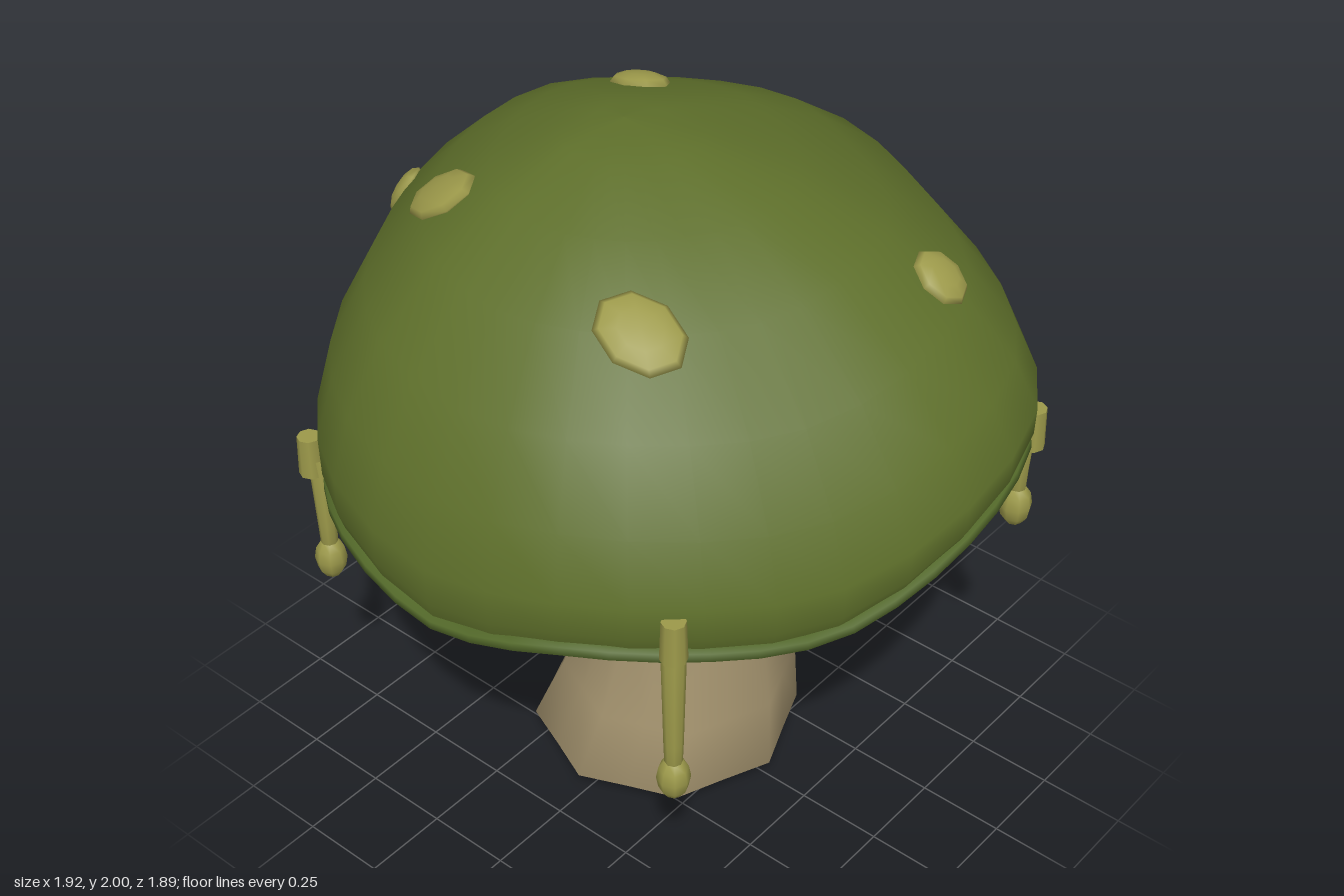
import * as THREE from 'three';

const material = (name, color) => {
  const m = new THREE.MeshStandardMaterial({ color });
  m.name = name;
  return m;
};

// Smooth skin over rings of points, listed from top to bottom
function loft(rings) {
  const n = rings[0].length, index = [];
  for (let i = 0; i < rings.length - 1; i++) {
    for (let j = 0; j < n; j++) {
      const k = (j + 1) % n, a = i * n, b = a + n;
      index.push(a + j, b + j, b + k, a + j, b + k, a + k);
    }
  }
  const g = new THREE.BufferGeometry().setFromPoints(rings.flat());
  g.setIndex(index);
  g.computeVertexNormals();
  return g;
}

export function createModel() {
  const group = new THREE.Group();
  const green = material('cap green', 0x5d6e2a);
  const rimGreen = material('rim green', 0x546a2a);
  const ooze = material('ooze yellow', 0x9c994a);
  const tan = material('stem tan', 0xa69570);
  const brown = material('gill brown', 0x8a745c);
  const add = (name, geometry, mat, parent = group) => {
    const mesh = new THREE.Mesh(geometry, mat);
    mesh.name = name;
    parent.add(mesh);
    return mesh;
  };

  // Wavy rim, from the front (+z) round by +x
  const radii = [0.935, 0.92, 0.895, 0.9, 0.945, 0.965, 0.925, 0.895, 0.935, 0.94, 0.955, 0.985, 0.945, 0.92, 0.935, 0.955];
  const heights = [1.02, 1.08, 1.07, 1.06, 1.18, 1.25, 1.22, 1.23, 1.24, 1.17, 1.12, 1.14, 1.13, 1.06, 1.05, 1.08];
  const rimCurve = new THREE.CatmullRomCurve3(radii.map((r, i) => {
    const a = i / 16 * Math.PI * 2;
    return new THREE.Vector3(r * Math.sin(a), heights[i], r * Math.cos(a));
  }), true);
  const SEG = 32;
  const rim = Array.from({ length: SEG }, (_, j) => rimCurve.getPoint(j / SEG));

  // Cap: an off-centre dome following the rim, fuller toward -x and the back
  const apex = new THREE.Vector3(-0.16, 2, 0);
  const dome = [[0, 1], [0.1, 0.992], [0.2, 0.975], [0.42, 0.895], [0.63, 0.77], [0.825, 0.59], [0.95, 0.39], [1.012, 0.2], [1.01, 0.08], [0.985, 0]];
  const cap = add('cap', loft(dome.map(([f, g]) => rim.map(p => new THREE.Vector3(
    apex.x + (p.x - apex.x) * f,
    p.y + (apex.y - p.y) * g - (0.05 * p.x + 0.025 * p.z) * f * 4 * g * (1 - g),
    p.z * f
  )))), green);

  // Underside as [scale, dip, blend to centre]: rolled lip, then a hollow toward the stem
  const under = rows => loft(rows.map(([f, dip, mix]) => rim.map(p => {
    const depth = 0.06 + 0.045 * p.z;
    return new THREE.Vector3(p.x * f, (p.y - depth * dip) * (1 - mix) + 1.15 * mix, p.z * f);
  })));
  add('capLip', under([[0.985, 0, 0], [0.95, 0.6, 0], [0.85, 0.95, 0]]), green);
  add('capHollow', under([[0.85, 0.95, 0], [0.62, 1, 0.06], [0.3, 0.6, 0.7], [0, 0, 1]]), green);

  // Rolled cord tucked under the rim
  const cordCurve = new THREE.CatmullRomCurve3(rim.map(p => new THREE.Vector3(p.x * 0.985, p.y, p.z * 0.985)), true);
  add('capRim', new THREE.TubeGeometry(cordCurve, 48, 0.024, 6, true), rimGreen);

  // Stem: lobed rings as [y, centre x, radius x, radius z]
  const stemRings = [[1.18, 0.05, 0.29, 0.28], [1.05, 0.05, 0.265, 0.26], [0.95, 0.045, 0.26, 0.26],
    [0.64, 0.07, 0.245, 0.255], [0.28, 0.03, 0.335, 0.345], [0.05, -0.02, 0.39, 0.395], [0.01, -0.02, 0.33, 0.33],
    [0, -0.02, 0.28, 0.28], [0, -0.02, 0, 0]];
  add('stem', loft(stemRings.map(([y, cx, rx, rz]) => Array.from({ length: 16 }, (_, j) => {
    const a = j / 16 * Math.PI * 2, lobe = j % 2 ? 0.92 : 1;
    return new THREE.Vector3(cx + rx * lobe * Math.sin(a), y, rz * lobe * Math.cos(a));
  }))), tan);

  // Gill spikes radiating from the stem top
  for (let i = 0; i < 16; i++) {
    const a = (i * 22.5 + 6.6) * Math.PI / 180;
    const base = new THREE.Vector3(0.05 + 0.22 * Math.sin(a), 1.11, 0.22 * Math.cos(a));
    const tip = new THREE.Vector3(0.04 + 0.78 * Math.sin(a), 1.08, 0.78 * Math.cos(a));
    const axis = tip.clone().sub(base);
    const spike = add('gillSpike', new THREE.CylinderGeometry(0.005, 0.02, axis.length(), 6), brown);
    spike.position.copy(base).lerp(tip, 0.5);
    spike.quaternion.setFromUnitVectors(new THREE.Vector3(0, 1, 0), axis.normalize());
  }

  // Spots laid on the cap as [x, z, half width, half depth]
  const ray = new THREE.Raycaster();
  const down = new THREE.Vector3(0, -1, 0);
  cap.updateMatrixWorld();
  for (const [x, z, w, d] of [[-0.46, 0.36, 0.118, 0.09], [0.28, 0.45, 0.13, 0.1], [0.64, -0.28, 0.085, 0.075],
    [-0.8, 0.17, 0.085, 0.068], [-0.32, -0.25, 0.092, 0.066]]) {
    ray.set(new THREE.Vector3(x, 3, z), down);
    const hit = ray.intersectObject(cap)[0];
    const spot = add('capSpot', new THREE.SphereGeometry(1, 8, 6), ooze);
    spot.scale.set(w, 0.03, d);
    spot.position.copy(hit.point);
    spot.quaternion.setFromUnitVectors(new THREE.Vector3(0, 1, 0), hit.face.normal);
  }

  // Hanging drips as [x, z, top y, bulb y]
  for (const [x, z, top, bulb] of [[0.577, 0.68, 1.205, 0.66], [-0.64, 0.705, 1.165, 0.745], [0.845, -0.42, 1.33, 1.01]]) {
    const drip = new THREE.Group();
    drip.name = 'drip';
    drip.position.set(x, 0, z);
    group.add(drip);
    const strand = [[0, bulb], [0.022, bulb], [0.026, bulb + 0.12], [0.034, top - 0.07], [0, top - 0.07]];
    add('dripStrand', new THREE.LatheGeometry(strand.map(p => new THREE.Vector2(...p)), 8), ooze, drip);
    const drop = add('dripBulb', new THREE.SphereGeometry(1, 8, 6), ooze, drip);
    drop.scale.set(0.045, 0.067, 0.045);
    drop.position.y = bulb;
    // Head gripping the outside of the rim
    const head = add('dripHead', new THREE.CylinderGeometry(0.032, 0.036, 0.12, 8), ooze, drip);
    head.position.set(x * 0.025, top - 0.06, z * 0.025);
  }
  return group;
}
